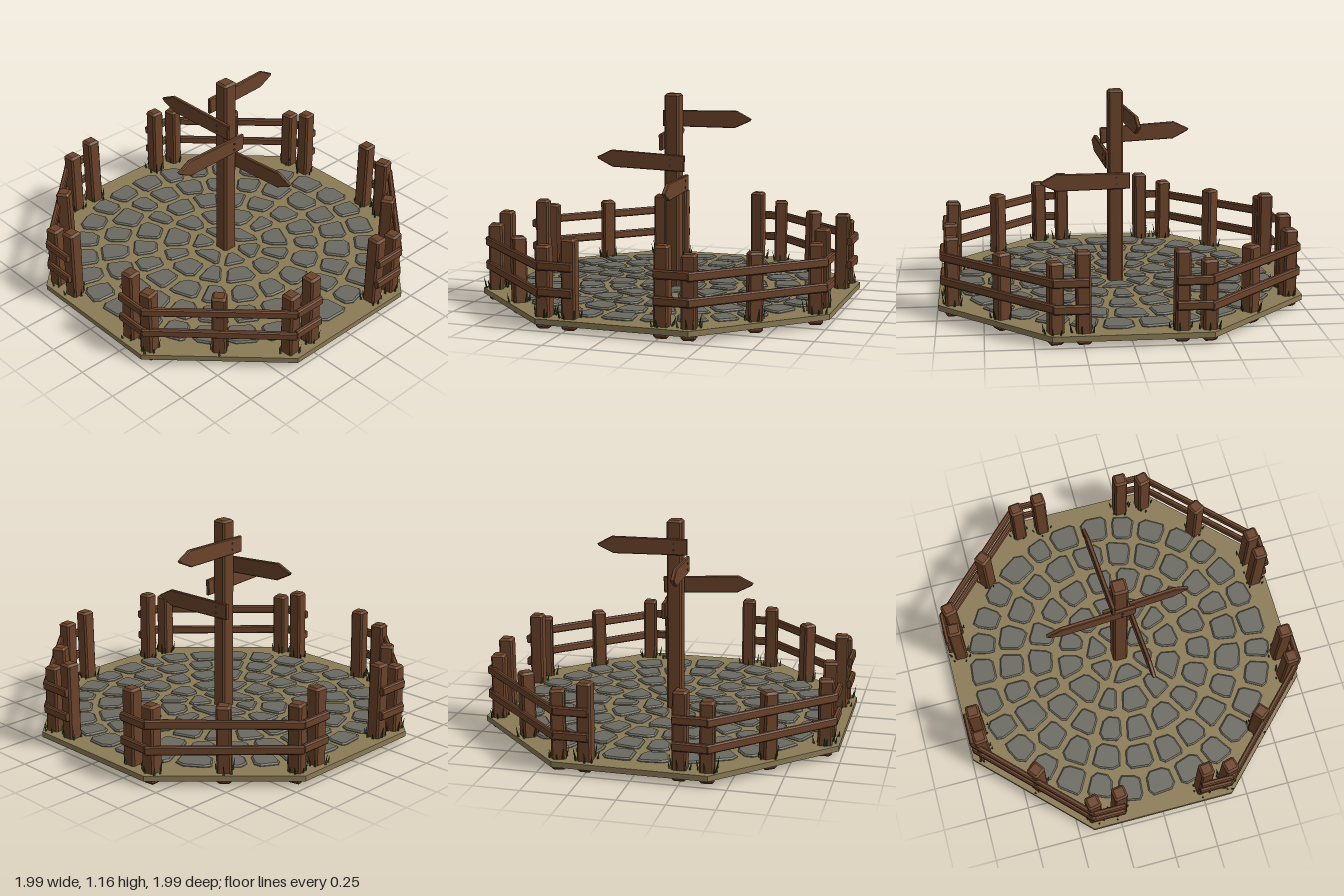
import * as THREE from 'three';

const mat = (name, color) => {
  const m = new THREE.MeshStandardMaterial({ color, flatShading: true });
  m.name = name;
  return m;
};

export function createModel() {
  const model = new THREE.Group();
  model.name = 'crossroadsSignpost';
  const wood = mat('brown wood', 0x6b432a);
  const sand = mat('sandy ground', 0x8b7b56);
  const stone = mat('grey stone', 0x6b6a62);
  const grass = mat('dark grass', 0x2b4a22);
  const iron = mat('dark iron', 0x45433f);

  // Small seeded generator: returns a value between -a and a
  let seed = 7;
  const jitter = (a) => {
    seed = (seed * 16807) % 2147483647;
    return (seed / 2147483647 * 2 - 1) * a;
  };

  const add = (parent, name, geometry, material) => {
    const mesh = new THREE.Mesh(geometry, material);
    mesh.name = name;
    parent.add(mesh);
    return mesh;
  };

  // Extruded outline with a chamfered edge, resting on z = 0
  const slab = (points, depth, bevel) => {
    const shape = new THREE.Shape(points.map((p) => new THREE.Vector2(p[0], p[1])));
    return new THREE.ExtrudeGeometry(shape, {
      depth: depth - 2 * bevel, bevelEnabled: true, bevelSegments: 1,
      bevelSize: bevel, bevelOffset: -bevel, bevelThickness: bevel,
    }).translate(0, 0, bevel);
  };

  // Square timber with chamfered corners, standing on y = 0
  const timber = (width, height) => {
    const h = width / 2, c = h * 0.75;
    const outline = [[h, -c], [h, c], [c, h], [-c, h], [-h, c], [-h, -c], [-c, -h], [c, -h]];
    return slab(outline, height, 0.012).rotateX(-Math.PI / 2);
  };

  // Octagonal ground
  add(model, 'ground', new THREE.CylinderGeometry(1.075, 1.075, 0.03, 8), sand)
    .position.y = 0.047;
  model.getObjectByName('ground').rotation.y = Math.PI / 8;

  // Cobblestones: rings of [radius, radial half size, count]
  const paving = new THREE.Group();
  paving.name = 'cobblestones';
  model.add(paving);
  const rings = [[0.145, 0.06, 6], [0.3, 0.073, 12], [0.475, 0.073, 18], [0.65, 0.075, 23], [0.825, 0.072, 29]];
  for (const [radius, half, count] of rings) {
    const step = Math.PI * 2 / count, start = jitter(1);
    const edges = Array.from({ length: count }, (_, i) => start + (i + jitter(0.13)) * step);
    for (let i = 0; i < count; i++) {
      const a0 = edges[i], a1 = i + 1 < count ? edges[i + 1] : edges[0] + Math.PI * 2;
      const corner = (r, a, side) => {
        const rr = r + jitter(0.01), aa = a + side * 0.017 / r;
        return [Math.cos(aa) * rr, Math.sin(aa) * rr];
      };
      const quad = [corner(radius - half, a0, 1), corner(radius + half, a0, 1),
        corner(radius + half, a1, -1), corner(radius - half, a1, -1)];
      // Cut each corner unevenly
      const outline = [];
      quad.forEach((p, k) => {
        for (const q of [quad[(k + 3) % 4], quad[(k + 1) % 4]]) {
          const t = 0.18 + jitter(0.09);
          outline.push([p[0] + (q[0] - p[0]) * t, p[1] + (q[1] - p[1]) * t]);
        }
      });
      add(paving, 'cobblestone', slab(outline, 0.024, 0.008).rotateX(-Math.PI / 2), stone)
        .position.y = 0.05;
    }
  }

  // Signpost with four pointed boards
  const sign = new THREE.Group();
  sign.name = 'signpost';
  model.add(sign);
  add(sign, 'mainPost', timber(0.086, 1.13), wood).position.y = 0.025;

  const boardOutline = [[-0.08, -0.045], [0.335, -0.047], [0.42, -0.008], [0.428, 0.004],
    [0.345, 0.049], [-0.08, 0.045]];
  // [height, heading, upward tilt]
  const boards = [[1.01, Math.PI / 2, 0], [0.889, Math.PI, -0.0], [0.77, -Math.PI / 2, 0.045], [0.645, 0, 0]];
  boards[1][2] = 0.045;
  for (const [y, heading, tilt] of boards) {
    const arm = new THREE.Group();
    arm.name = 'signArm';
    arm.position.y = y;
    arm.rotation.y = heading;
    sign.add(arm);
    const board = new THREE.Group();
    board.name = 'pointedBoard';
    board.position.z = -0.056;
    board.rotation.set(0, 0.07, tilt);
    arm.add(board);
    add(board, 'plank', slab(boardOutline, 0.022, 0.004).translate(0, 0, -0.011), wood);
    for (const ny of [-0.018, 0.018]) {
      const nail = add(board, 'nail', new THREE.CylinderGeometry(0.006, 0.006, 0.006, 6), iron);
      nail.rotation.x = Math.PI / 2;
      nail.position.set(0, ny, -0.013);
    }
  }

  // Four fence corners, each wrapping one diagonal side
  const posts = [[0.25, 0.917, 0.48, 0.05], [0.393, 0.917, 0.43, 0.15], [0.655, 0.655, 0.42, 0.6],
    [0.914, 0.393, 0.43, 0.15], [0.917, 0.248, 0.48, 0.05]];
  const path = [[0.225, 0.965], [0.4, 0.965], [0.965, 0.4], [0.965, 0.225]];
  for (let q = 0; q < 4; q++) {
    const fence = new THREE.Group();
    fence.name = 'fenceCorner';
    fence.rotation.y = q * Math.PI / 2;
    model.add(fence);

    for (const [x, z, height, yaw] of posts) {
      const post = add(fence, 'fencePost', timber(0.077, height + jitter(0.006)), wood);
      post.position.set(x, 0, z);
      post.rotation.set(jitter(0.01), yaw + jitter(0.1), jitter(0.01));
      // Grass tuft around the foot of the post
      for (let b = 0; b < 7; b++) {
        const height = 0.055 + jitter(0.025), angle = b * 0.9 + jitter(0.4);
        const blade = add(fence, 'grassBlade',
          new THREE.ConeGeometry(0.007, height, 3).translate(0, height / 2, 0), grass);
        const reach = 0.05 + jitter(0.012);
        blade.position.set(x + Math.cos(angle) * reach, 0.06, z + Math.sin(angle) * reach);
        blade.rotation.set(Math.sin(angle) * 0.2, 0, -Math.cos(angle) * 0.2);
      }
    }

    // Two rails following the outside of the posts
    for (const y of [0.195, 0.333]) {
      for (let i = 0; i < 3; i++) {
        const [x0, z0] = path[i], [x1, z1] = path[i + 1];
        const length = Math.hypot(x1 - x0, z1 - z0) + 0.01;
        const h = 0.024, t = 0.014, c = 0.007;
        const section = [[t, -h + c], [t, h - c], [t - c, h], [c - t, h], [-t, h - c],
          [-t, c - h], [c - t, -h], [t - c, -h]];
        const rail = add(fence, 'fenceRail', slab(section, length, 0.003).translate(0, 0, -length / 2), wood);
        rail.position.set((x0 + x1) / 2, y + jitter(0.004), (z0 + z1) / 2);
        rail.rotation.order = 'YXZ';
        rail.rotation.set(jitter(0.008), Math.atan2(x1 - x0, z1 - z0), 0);
      }
    }
  }

  // Slight set-back
  for (const part of model.children) part.position.z -= 0.01;
  return model;
}
